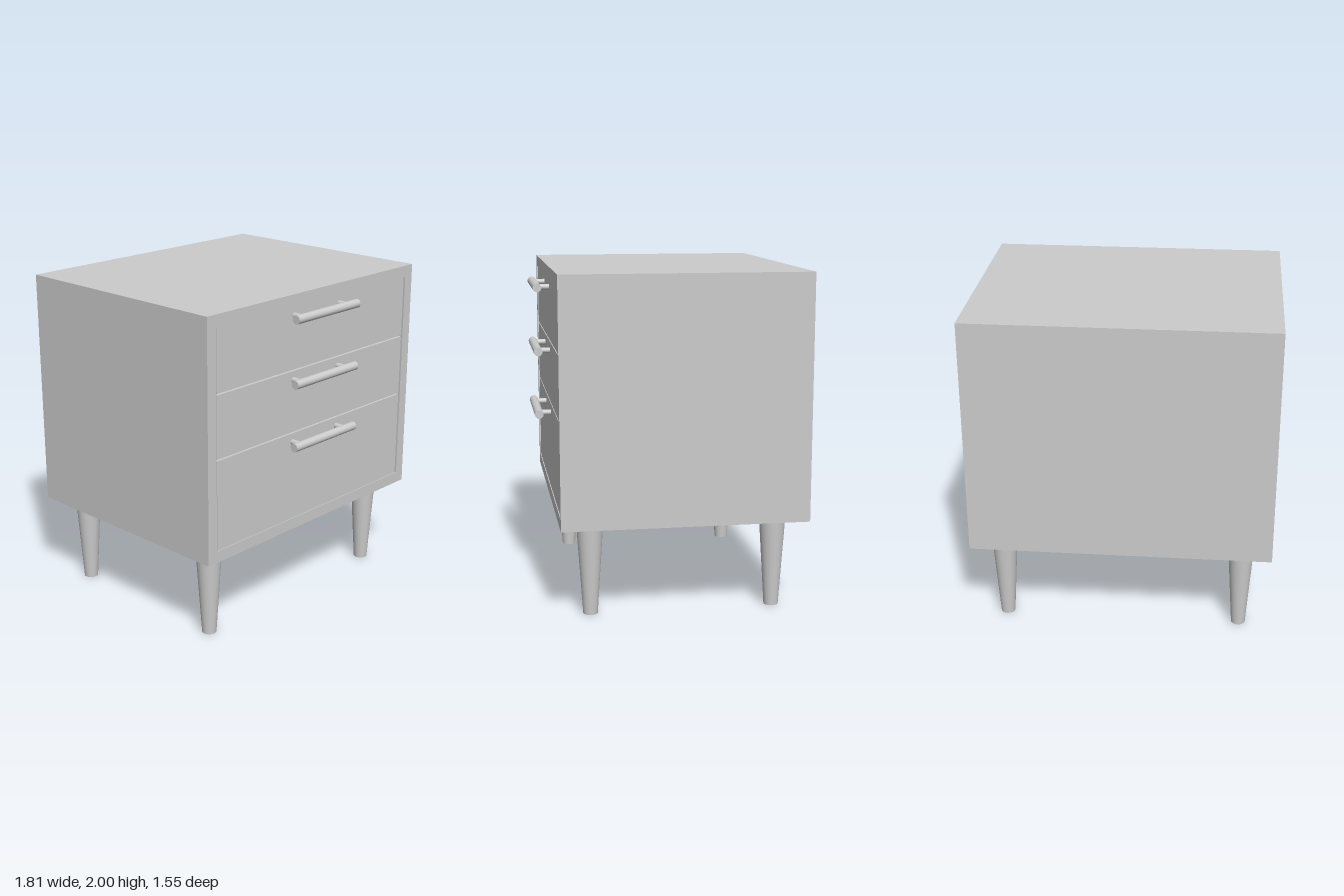
import * as THREE from 'three';

const HALF_W = 0.907, BOTTOM = 0.55, TOP = 2, BACK = -0.775, FRONT = 0.678;
const MID_Z = (BACK + FRONT) / 2;
const OPEN_X = 0.84, OPEN_BOTTOM = 0.62, OPEN_TOP = 1.93;
const PANEL = 0.06, GAP = 0.009, RECESS = 0.005;

const material = new THREE.MeshStandardMaterial({ color: 0xcccccc });

function part(parent, name, geometry, x = 0, y = 0, z = 0) {
  const mesh = new THREE.Mesh(geometry, material);
  mesh.name = name;
  mesh.position.set(x, y, z);
  parent.add(mesh);
  return mesh;
}

function rectangle(path, x, y0, y1) {
  path.moveTo(-x, y0);
  path.lineTo(x, y0);
  path.lineTo(x, y1);
  path.lineTo(-x, y1);
  path.closePath();
  return path;
}

// Bar handle on two short posts, centred on its own origin at the bar axis
function createHandle() {
  const handle = new THREE.Group();
  handle.name = 'handle';
  const bar = part(handle, 'handleBar', new THREE.CylinderGeometry(0.026, 0.026, 0.545, 32));
  bar.rotation.z = Math.PI / 2;
  for (const x of [-0.2, 0.2]) {
    const post = part(handle, 'handlePost', new THREE.CylinderGeometry(0.017, 0.017, 0.08, 24), x, 0, -0.04);
    post.rotation.x = Math.PI / 2;
  }
  return handle;
}

export function createModel() {
  const model = new THREE.Group();
  model.name = 'nightstand';

  // Case: a rectangular sleeve open at the front, closed by a back panel
  const sleeve = rectangle(new THREE.Shape(), HALF_W, BOTTOM, TOP);
  sleeve.holes.push(rectangle(new THREE.Path(), OPEN_X, OPEN_BOTTOM, OPEN_TOP));
  part(model, 'case', new THREE.ExtrudeGeometry(sleeve, { depth: FRONT - BACK, bevelEnabled: false }), 0, 0, BACK);
  part(model, 'backPanel', new THREE.BoxGeometry(2 * OPEN_X, OPEN_TOP - OPEN_BOTTOM, PANEL),
    0, (OPEN_TOP + OPEN_BOTTOM) / 2, BACK + PANEL / 2);

  // Drawers, with narrow gaps at the sides and between them
  const drawers = [
    { y0: OPEN_BOTTOM, y1: 1.168 - GAP / 2, handleY: 1.11 },
    { y0: 1.168 + GAP / 2, y1: 1.55 - GAP / 2, handleY: 1.492 },
    { y0: 1.55 + GAP / 2, y1: OPEN_TOP, handleY: 1.875 },
  ];
  const depth = FRONT - RECESS - BACK - PANEL;
  for (const { y0, y1, handleY } of drawers) {
    const drawer = new THREE.Group();
    drawer.name = 'drawer';
    part(drawer, 'drawerBox', new THREE.BoxGeometry(2 * (OPEN_X - GAP), y1 - y0, depth),
      0, (y0 + y1) / 2, FRONT - RECESS - depth / 2);
    const handle = createHandle();
    handle.position.set(0, handleY, 0.749);
    drawer.add(handle);
    model.add(drawer);
  }

  // Four tapered round legs
  for (const x of [-0.725, 0.725]) {
    for (const dz of [-0.545, 0.545]) {
      part(model, 'leg', new THREE.CylinderGeometry(0.079, 0.043, BOTTOM, 40), x, BOTTOM / 2, MID_Z + dz);
    }
  }
  return model;
}
